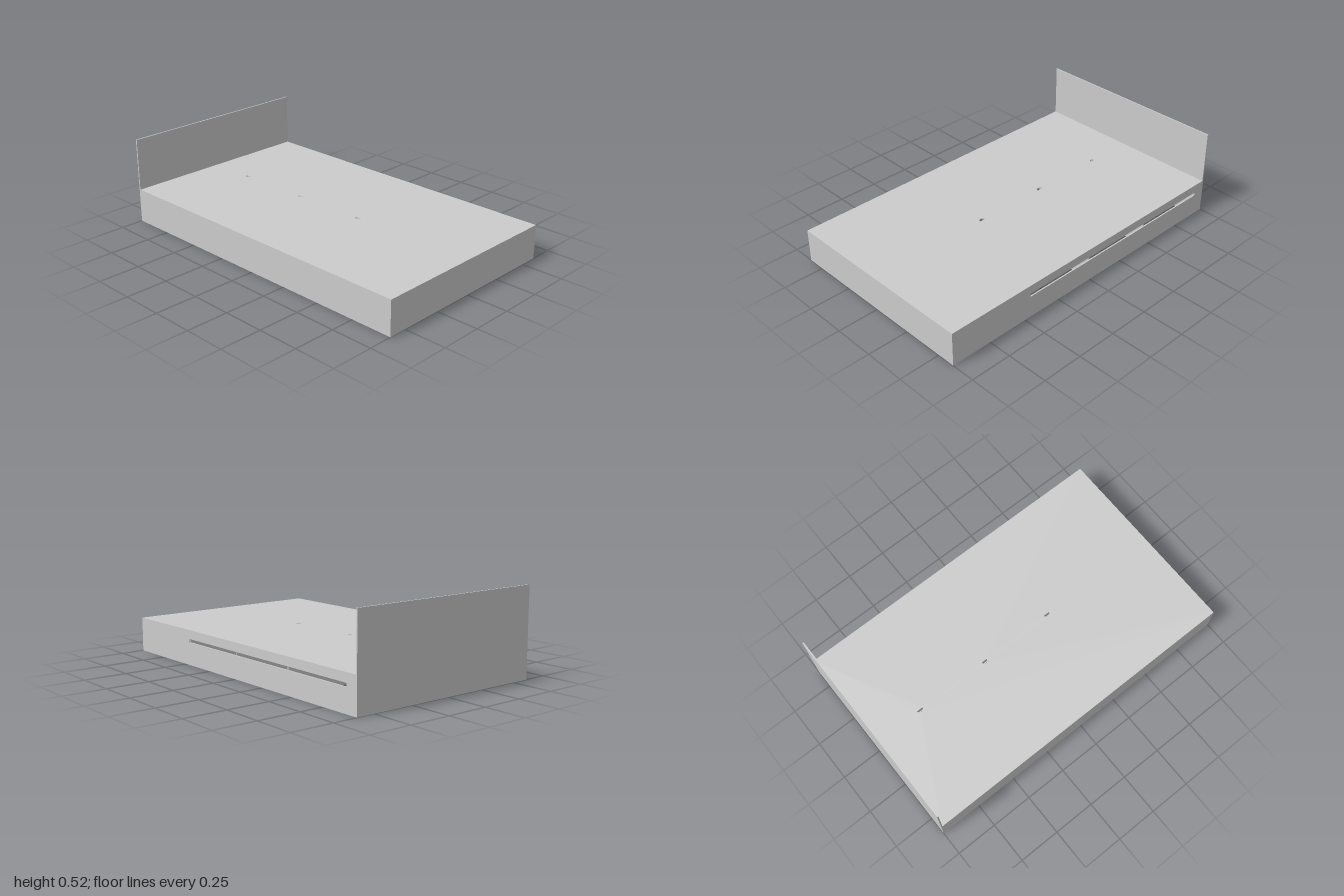
import * as THREE from 'three';

const T = 0.008;          // board thickness
const H = 0.205;          // height of the base
const D = 0.608;          // half depth
const CELL = 0.462;       // width of a storage compartment
const X0 = -0.924;        // start of the storage compartments
const SLOT = [0.133, 0.153];

export function createModel() {
  const group = new THREE.Group();
  const material = new THREE.MeshStandardMaterial({ color: 0xcccccc });

  const rect = (Type, a0, a1, b0, b1) => new Type([
    [a0, b0], [a1, b0], [a1, b1], [a0, b1],
  ].map(([a, b]) => new THREE.Vector2(a, b)));

  // Board cut from a sheet, centred on its own thickness
  const sheet = (outline, holes) => {
    outline.holes.push(...holes);
    return new THREE.ExtrudeGeometry(outline, { depth: T, bevelEnabled: false, curveSegments: 12 })
      .translate(0, 0, -T / 2);
  };
  const add = (name, geometry) => {
    const mesh = new THREE.Mesh(geometry, material);
    mesh.name = name;
    group.add(mesh);
  };

  // Upright board running along x, at depth z
  const lengthBoard = (name, z, x0, x1, y1, holes = []) =>
    add(name, sheet(rect(THREE.Shape, x0, x1, 0, y1), holes).translate(0, 0, z));
  // Upright board running along z, at position x
  const crossBoard = (name, x, z0, z1, y1, holes = []) =>
    add(name, sheet(rect(THREE.Shape, z0, z1, 0, y1), holes).rotateY(-Math.PI / 2).translate(x, 0, 0));

  const inner = H - T;
  const xEnd = X0 + 3 * CELL;

  // Outer frame, with one long slot in the back
  lengthBoard('frontPanel', D - T / 2, -1 + T, 1, H);
  lengthBoard('backPanel', -D + T / 2, -1 + T, 1, H, [rect(THREE.Path, X0, xEnd, ...SLOT)]);
  crossBoard('footPanel', 1 - T / 2, -D + T, D - T, H);
  crossBoard('headboard', -1 + T / 2, -D, D, 0.52);

  // Top deck with three half-round finger holes
  const fingerHoles = [0, 1, 2].map((i) => {
    const hole = new THREE.Path();
    hole.absarc(X0 + CELL * (i + 0.5), 0.004, 0.018, 0, Math.PI, false);
    hole.closePath();
    return hole;
  });
  add('topDeck', sheet(rect(THREE.Shape, -1 + T, 1 - T, -D + T, D - T), fingerHoles)
    .rotateX(Math.PI / 2).translate(0, H - T / 2, 0));

  // Middle board, slotted along each compartment
  const middleSlots = [0, 1, 2].map((i) =>
    rect(THREE.Path, X0 + i * CELL + T, X0 + (i + 1) * CELL - T, ...SLOT));
  lengthBoard('middleDivider', -T / 2, -1 + T, xEnd, inner, middleSlots);

  // Cross boards between the compartments, slotted in their front half
  for (let i = 0; i < 4; i++) {
    const slots = i < 3 ? [rect(THREE.Path, T, D - 2 * T, ...SLOT)] : [];
    crossBoard('crossDivider', X0 + i * CELL, -D + T, D - T, inner, slots);
  }

  // Two boards that split the foot end into three bays
  for (const z of [-0.2, 0.2]) lengthBoard('footDivider', z, xEnd, 1 - T, inner);

  return group;
}
